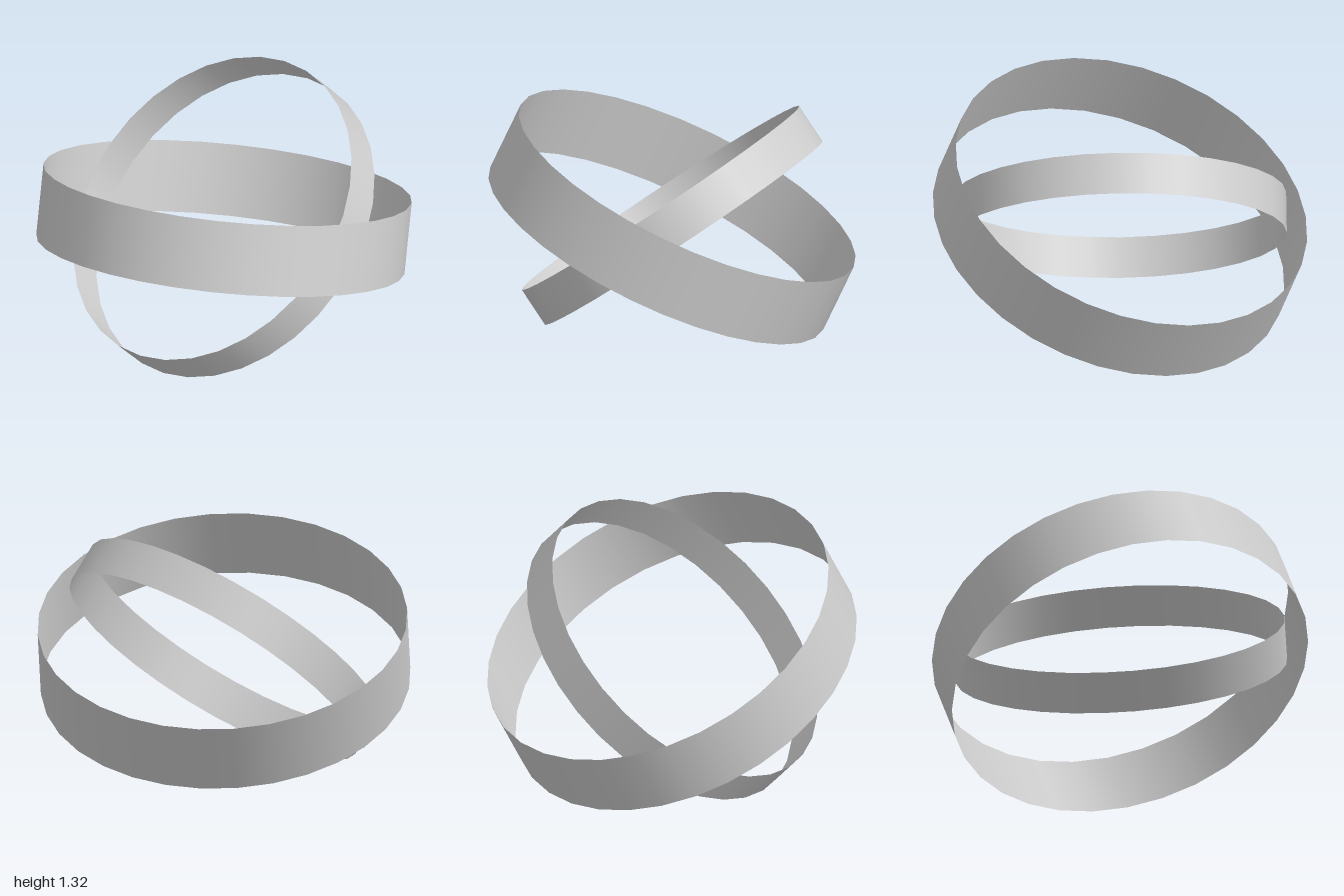
import * as THREE from 'three';

export function createModel() {
  const group = new THREE.Group();
  const paleGrey = new THREE.MeshStandardMaterial({ color: 0xcccccc, side: THREE.DoubleSide });
  paleGrey.name = 'pale grey';

  // An open, paper-thin band whose axis is tilted away from vertical
  function band(name, radius, height, axis, centreY) {
    const geometry = new THREE.CylinderGeometry(radius, radius, height, 32, 1, true);
    geometry.rotateY(Math.PI / 32); // a flat side faces the front
    const mesh = new THREE.Mesh(geometry, paleGrey);
    mesh.name = name;
    mesh.quaternion.setFromUnitVectors(new THREE.Vector3(0, 1, 0), new THREE.Vector3(...axis).normalize());
    mesh.position.y = centreY;
    group.add(mesh);
  }

  // Wide outer band leaning back, narrow inner band leaning forward and sideways
  band('outerBand', 0.99, 0.39, [-0.06, 0.905, -0.425], 0.65);
  band('innerBand', 0.89, 0.224, [-0.39, 0.765, 0.51], 0.66);

  return group;
}
